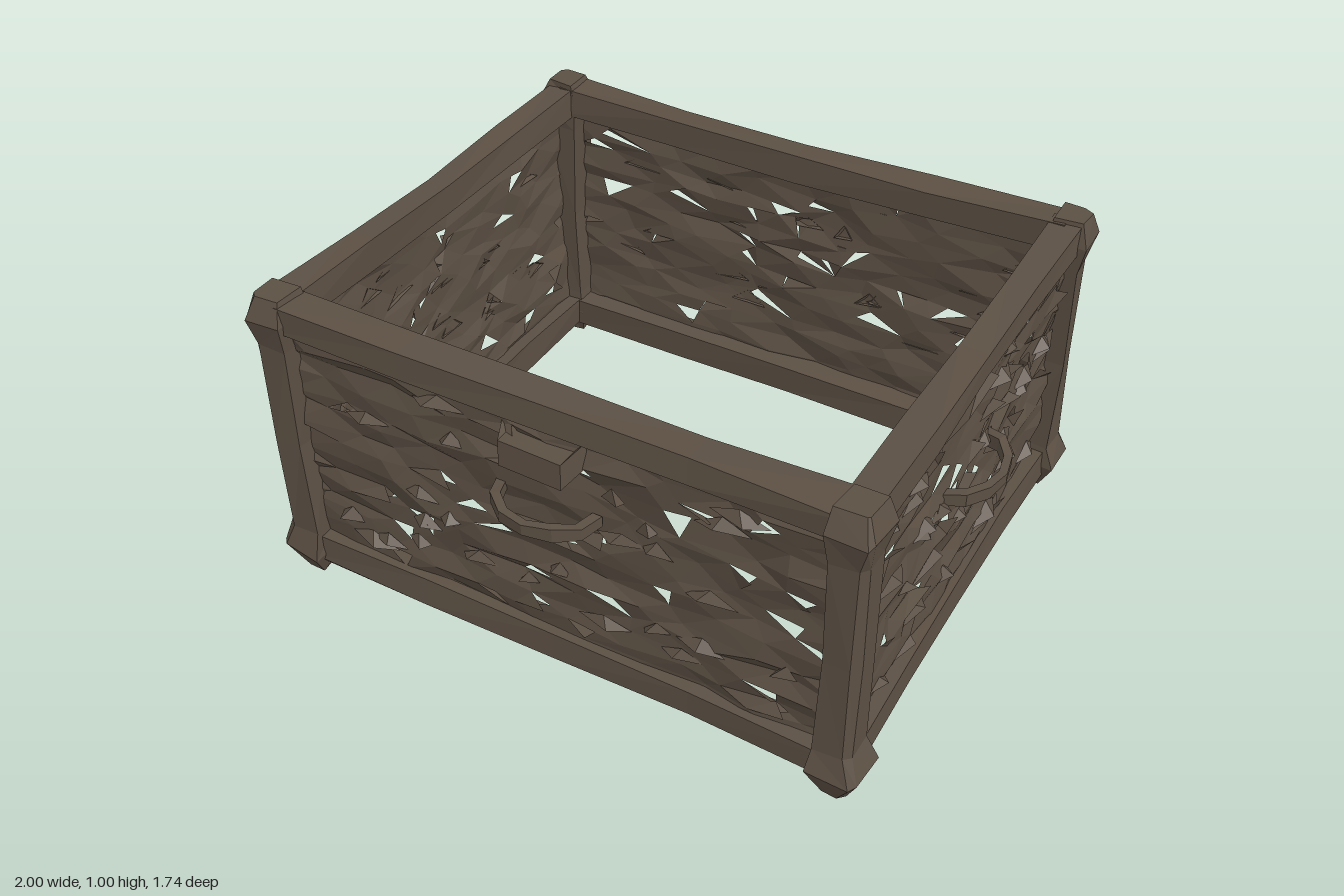
import * as THREE from 'three';

const wood = new THREE.MeshStandardMaterial({ color: 0x5c5044, flatShading: true, side: THREE.DoubleSide });
wood.name = 'dark weathered wood';

// Small seeded random source, returns -1..1
let seed = 7;
function rnd() {
  seed = (seed * 16807) % 2147483647;
  return (seed / 2147483647) * 2 - 1;
}

function meshFrom(name, pos) {
  const g = new THREE.BufferGeometry();
  g.setAttribute('position', new THREE.Float32BufferAttribute(pos, 3));
  g.computeVertexNormals();
  const m = new THREE.Mesh(g, wood);
  m.name = name;
  return m;
}

// Closed solid through a row of rings of equal size, wound outward
function loft(name, rings) {
  const tris = [];
  const n = rings[0].length;
  for (let i = 0; i < rings.length - 1; i++) {
    for (let j = 0; j < n; j++) {
      const k = (j + 1) % n, a = rings[i], b = rings[i + 1];
      tris.push([a[j], a[k], b[k]], [a[j], b[k], b[j]]);
    }
  }
  const first = rings[0], last = rings[rings.length - 1];
  for (let j = 1; j < n - 1; j++) {
    tris.push([first[0], first[j + 1], first[j]], [last[0], last[j], last[j + 1]]);
  }
  let volume = 0;
  for (const [a, b, c] of tris) volume += a.dot(b.clone().cross(c));
  const pos = [];
  for (const [a, b, c] of tris) {
    for (const v of volume > 0 ? [a, b, c] : [a, c, b]) pos.push(v.x, v.y, v.z);
  }
  return meshFrom(name, pos);
}

const V = (x, y, z) => new THREE.Vector3(x, y, z);

// Corner post: [y, inset of outer faces, inset of inner faces], swollen at both ends
function post(name, sx, sz) {
  const levels = [[0.005, 0.03, 0.02], [0.1, -0.01, -0.01], [0.18, 0.015, 0],
    [0.5, 0.02, 0.005], [0.84, 0.015, 0], [0.93, 0, -0.01], [1.0, 0.025, 0.005]];
  const rings = levels.map(([y, o, i]) => {
    const j = () => rnd() * 0.007;
    const xo = 0.945 - o, xi = 0.822 + i, zo = 0.8 - o, zi = 0.675 + i, c = 0.018;
    const ring = [[xi, zi], [xo, zi], [xo, zo - c], [xo - c, zo], [xi, zo]];
    return ring.map(([x, z]) => V(sx * (x + j()), y + (y > 0.05 && y < 0.99 ? j() : 0), sz * (z + j())));
  });
  return loft(name, rings);
}

// Slightly bowed rail; a wall's own frame is (along, up, outward)
function rail(name, half, y0, y1, inner, outer, sag, place) {
  const rings = [-1, -0.5, 0, 0.5, 1].map((t) => {
    const bow = 1 - t * t, a = t * half, j = () => rnd() * 0.006;
    const out = outer - bow * 0.014;
    return [[y0 + 0.01, inner], [y0 - 0.005, out - 0.035], [y0 + 0.025, out], [y1, out - 0.006], [y1, inner]]
      .map(([y, d]) => place(a, y - bow * sag + j(), d + j()));
  });
  return loft(name, rings);
}

// Rough plaited wall: crumpled grid with staggered rows and small gaps
function wall(name, half, depth, place) {
  const cols = 11, rows = 15, pos = [];
  const grid = [];
  for (let r = 0; r <= rows; r++) {
    const line = [];
    for (let c = 0; c <= cols; c++) {
      const edge = c === 0 || c === cols;
      const shift = edge ? 0 : (r % 2 ? 0.25 : -0.25) + rnd() * 0.3;
      const a = -half + ((c + shift) / cols) * half * 2;
      const y = 0.11 + (r / rows) * 0.8 + rnd() * 0.016;
      line.push([a, y, depth + rnd() * 0.015]);
    }
    grid.push(line);
  }
  const add = (a, b, c) => {
    for (const p of [a, b, c]) {
      const v = place(...p);
      pos.push(v.x, v.y, v.z);
    }
  };
  for (let r = 0; r < rows; r++) {
    for (let c = 0; c < cols; c++) {
      const a = grid[r][c], b = grid[r][c + 1], d = grid[r + 1][c], e = grid[r + 1][c + 1];
      const inside = r > 0 && r < rows - 1;
      for (const t of r % 2 ? [[a, b, e], [a, e, d]] : [[a, b, d], [b, e, d]]) {
        // a few faces become partial gaps with a loose flap
        if (inside && rnd() > 0.8) {
          const m = t[1].map((v, i) => (v + t[2][i]) / 2);
          add(t[0], t[1], m);
          if (rnd() > -0.1) add(t[0], [m[0], m[1], m[2] + 0.03], t[2]);
        } else add(...t);
      }
    }
  }
  // raised splinters lying along the strands
  for (let i = 0; i < 26; i++) {
    const a = rnd() * (half - 0.12), y = 0.52 + rnd() * 0.32, w = 0.06 + 0.03 * rnd();
    const tip = [a + rnd() * 0.04, y + 0.012, depth + 0.036 + rnd() * 0.01];
    const l = [a - w, y + rnd() * 0.015, depth], r = [a + w, y + rnd() * 0.015, depth];
    const top = [a, y + 0.04, depth + 0.005];
    add(l, tip, top);
    add(tip, r, top);
    add(l, r, tip);
  }
  return meshFrom(name, pos);
}

// Flat curved grip standing out from a wall
function handle(name, y, base, reach, place) {
  const rings = [];
  for (let i = 0; i <= 6; i++) {
    const t = Math.PI * (i / 6), c = Math.cos(t), s = Math.sin(t);
    const h = 0.019 + rnd() * 0.004, dy = y + rnd() * 0.006;
    const outer = [c * 0.165, base + s * (reach - base)];
    const inner = [c * 0.135, base + s * (reach - base - 0.024)];
    rings.push([place(outer[0], dy - h, outer[1]), place(outer[0], dy + h, outer[1]),
      place(inner[0], dy + h, inner[1]), place(inner[0], dy - h, inner[1])]);
  }
  return loft(name, rings);
}

export function createModel() {
  const model = new THREE.Group();
  model.name = 'openCrate';

  for (const sx of [-1, 1]) {
    for (const sz of [-1, 1]) {
      model.add(post((sz > 0 ? 'front' : 'back') + (sx > 0 ? 'Left' : 'Right') + 'Post', sx, sz));
    }
  }

  // Each side: name, half length, inner and outer rail faces, handle height and reach, placement
  const sides = [
    ['front', 0.87, 0.67, 0.782, 0.63, 0.87, (a, y, d) => V(a, y, d)],
    ['back', 0.87, 0.67, 0.782, 0.63, 0.872, (a, y, d) => V(-a, y, -d)],
    ['left', 0.72, 0.822, 0.925, 0.585, 1, (a, y, d) => V(d, y, -a)],
    ['right', 0.72, 0.828, 0.925, 0.585, 1, (a, y, d) => V(-d, y, a)],
  ];
  for (const [name, half, inner, outer, hy, reach, place] of sides) {
    const side = new THREE.Group();
    side.name = name + 'Side';
    side.add(
      rail(name + 'TopRail', half, 0.88, 0.985, inner, outer, 0.012, place),
      rail(name + 'BottomRail', half, 0.045, 0.155, inner, outer, 0, place),
      wall(name + 'WovenWall', half, outer - 0.045, place),
      handle(name + 'Handle', hy, outer - 0.045, reach, place),
    );
    model.add(side);
  }

  // Latch plate under the front top rail
  const plate = [[-0.13, 0.79, 0.74], [-0.105, 0.76, 0.805], [0.09, 0.76, 0.81], [0.125, 0.8, 0.74]];
  model.add(loft('frontLatch', plate.map(([x, y, z]) =>
    [V(x, y, z), V(x, y + 0.08, z - 0.005), V(x, y + 0.08, 0.725), V(x, y, 0.725)])));

  return model;
}
